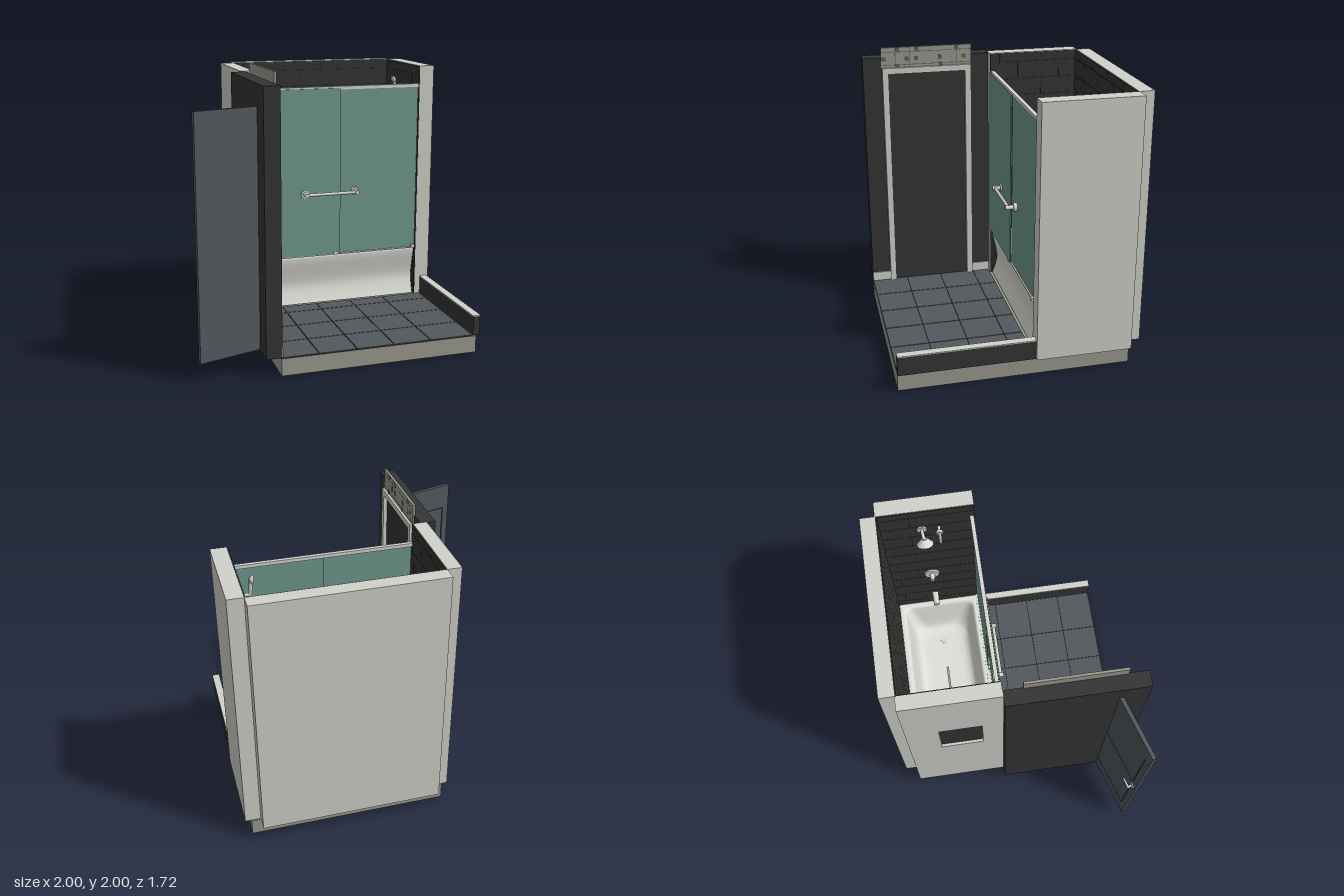
import * as THREE from 'three';

const mat = (name, color, side = THREE.FrontSide) => {
  const m = new THREE.MeshStandardMaterial({ color, side });
  m.name = name;
  return m;
};

export function createModel() {
  const root = new THREE.Group();
  root.name = 'bathroomCorner';
  const plaster = mat('plaster', 0xd2d2cc);
  const stone = mat('stone', 0x9c9b90);
  const black = mat('black', 0x353535);
  const slate = mat('slate', 0x52585d);
  const grout = mat('grout', 0x25272a);
  const glass = mat('glass', 0x719a8f);
  const enamel = mat('enamel', 0xe0e0da, THREE.DoubleSide);
  const metal = mat('metal', 0xd9d8d2);
  const accent = mat('accentTile', 0x5b5d5c);

  const add = (name, geo, m, parent = root) => {
    const mesh = new THREE.Mesh(geo, m);
    mesh.name = name;
    parent.add(mesh);
    return mesh;
  };
  // Box given by its limits
  const box = (name, m, x0, x1, y0, y1, z0, z1, parent = root) => {
    const b = add(name, new THREE.BoxGeometry(x1 - x0, y1 - y0, z1 - z0), m, parent);
    b.position.set((x0 + x1) / 2, (y0 + y1) / 2, (z0 + z1) / 2);
    return b;
  };
  // Round bar between two points
  const rod = (name, m, a, b, r0, r1 = r0, parent = root) => {
    const p = new THREE.Vector3(...a), q = new THREE.Vector3(...b), d = q.clone().sub(p);
    const c = add(name, new THREE.CylinderGeometry(r1, r0, d.length(), 24), m, parent);
    c.position.copy(p).add(q).multiplyScalar(0.5);
    c.quaternion.setFromUnitVectors(new THREE.Vector3(0, 1, 0), d.normalize());
    return c;
  };
  const group = (name, parent = root) => {
    const g = new THREE.Group();
    g.name = name;
    parent.add(g);
    return g;
  };
  const rectPath = (P, x0, x1, y0, y1) => new P([[x0, y0], [x1, y0], [x1, y1], [x0, y1]]
    .map(([x, y]) => new THREE.Vector2(x, y)));
  const panelWithHoles = (outer, holes, depth) => {
    const s = rectPath(THREE.Shape, ...outer);
    holes.forEach(h => s.holes.push(rectPath(THREE.Path, ...h)));
    return new THREE.ExtrudeGeometry(s, { depth, bevelEnabled: false });
  };

  // Base slab and floor tiles
  box('baseSlab', stone, -0.46, 0.955, 0, 0.12, -0.76, 0.86);
  box('floorGrout', grout, -0.46, 0.93, 0.12, 0.126, -0.085, 0.858);
  const floor = group('floorTiles');
  const xs = [-0.455, -0.2, 0.07, 0.34, 0.61, 0.93], zs = [-0.085, 0.05, 0.32, 0.59, 0.86];
  for (let i = 0; i < xs.length - 1; i++)
    for (let j = 0; j < zs.length - 1; j++)
      box('floorTile', slate, xs[i] + 0.003, xs[i + 1] - 0.003, 0.122, 0.13, zs[j] + 0.003, zs[j + 1] - 0.003, floor);

  // Walls around the bath
  box('rightWall', plaster, 0.888, 1, 0.128, 1.93, -0.76, -0.083);
  box('backWall', plaster, -0.4, 0.89, 0.128, 1.93, -0.863, -0.757);
  const leftWall = add('leftWall',
    panelWithHoles([-0.76, -0.083, 0.128, 1.93], [[-0.53, -0.23, 0.98, 1.36]], 0.1), plaster);
  leftWall.rotation.y = -Math.PI / 2;
  leftWall.position.x = -0.4;
  box('wallNiche', black, -0.48, -0.405, 0.97, 1.37, -0.54, -0.22);

  // Brick-bond wall tiles lining three sides
  const tileWall = (name, width, place) => {
    const g = group(name);
    box('tileGrout', grout, 0, width, 0.13, 1.925, 0, 0.004, g);
    const rowH = 0.13, len = 0.32;
    for (let r = 0, top = 1.928; top > 0.48; r++) {
      const h = r === 0 ? 0.065 : rowH;
      for (let x = r % 2 ? -0.11 : -0.09 - len / 2; x < width; x += len) {
        const a = Math.max(0, x), b = Math.min(width, x + len);
        if (b - a > 0.02) box('wallTile', black, a + 0.002, b - 0.002, top - h + 0.002, top - 0.002, 0.002, 0.008, g);
      }
      top -= h;
    }
    place(g);
  };
  tileWall('backTiles', 1.28, g => g.position.set(-0.395, 0, -0.757));
  tileWall('leftTiles', 0.665, g => { g.rotation.y = Math.PI / 2; g.position.set(-0.4, 0, -0.086); });
  tileWall('rightTiles', 0.665, g => { g.rotation.y = -Math.PI / 2; g.position.set(0.888, 0, -0.75); });

  // Dark wall with door casing
  box('doorWall', black, -0.565, -0.455, 0.128, 1.925, -0.083, 0.86);
  const casing = group('doorCasing');
  for (const [a, b] of [[0.055, 0.1], [0.675, 0.72]]) box('casingSide', plaster, -0.46, -0.427, 0.13, 1.85, a, b, casing);
  box('casingTop', plaster, -0.46, -0.427, 1.805, 1.85, 0.055, 0.72, casing);
  for (const [a, b] of [[-0.083, 0.055], [0.72, 0.858]]) box('skirting', plaster, -0.46, -0.447, 0.13, 0.2, a, b);

  // Mosaic strip above the casing
  const mosaic = group('mosaicStrip');
  box('mosaicPanel', stone, -0.462, -0.444, 1.84, 2, 0.05, 0.725, mosaic);
  for (const [z, y] of [[0.705, 1.915], [0.535, 1.915], [0.465, 1.915], [0.285, 1.915], [0.11, 1.915],
    [0.605, 1.983], [0.465, 1.983], [0.165, 1.983], [0.605, 1.862], [0.285, 1.862]])
    box('mosaicAccent', accent, -0.445, -0.442, y - 0.015, y + 0.015, z - 0.015, z + 0.015, mosaic);
  for (const y of [1.87, 1.965]) box('mosaicJoint', accent, -0.445, -0.4435, y - 0.002, y + 0.002, 0.05, 0.725, mosaic);
  for (const z of [0.16, 0.515, 0.62]) box('mosaicJoint', accent, -0.445, -0.4435, 1.84, 2, z - 0.002, z + 0.002, mosaic);

  // Low kerb on the right
  box('kerb', black, 0.932, 0.982, 0.128, 0.265, -0.083, 0.86);
  box('kerbCap', plaster, 0.929, 0.985, 0.265, 0.272, -0.083, 0.86);

  // Open door: local x runs from the free edge to the hinge, local +z is the front
  const door = group('door');
  door.position.set(-0.996, 0, 0.808);
  door.rotation.y = Math.atan2(0.13, 0.435);
  const W = 0.5;
  box('doorLeaf', slate, 0, W, 0.135, 1.78, -0.008, 0.012, door);
  box('doorPanelBack', grout, 0.04, W - 0.02, 0.25, 1.65, -0.0085, -0.007, door);
  const panels = [[0.05, W - 0.03, 0.99, 1.6], [0.05, W - 0.03, 0.3, 0.87]];
  add('doorFrame', panelWithHoles([0, W, 0.135, 1.78], panels, 0.008), slate, door).position.z = -0.016;
  for (const [a, b, c, d] of panels) box('doorPanel', slate, a + 0.008, b - 0.008, c + 0.008, d - 0.008, -0.014, -0.007, door);
  rod('handleRose', metal, [0.04, 0.93, -0.014], [0.04, 0.93, -0.024], 0.024, 0.024, door);
  rod('handleNeck', metal, [0.04, 0.93, -0.02], [0.04, 0.93, -0.052], 0.009, 0.009, door);
  rod('handleLever', metal, [0.03, 0.93, -0.05], [0.11, 0.93, -0.05], 0.009, 0.007, door);

  // Bathtub: rounded rectangles lofted up the apron, over the rim and down the basin
  const corner = 7;
  const ring = (y, x0, x1, z0, z1, r) => {
    const pts = [];
    const centres = [[x1 - r, z1 - r], [x0 + r, z1 - r], [x0 + r, z0 + r], [x1 - r, z0 + r]];
    centres.forEach(([cx, cz], q) => {
      for (let k = 0; k < corner; k++) {
        const a = (q + k / (corner - 1)) * Math.PI / 2;
        pts.push([cx + r * Math.cos(a), y, cz + r * Math.sin(a)]);
      }
    });
    return pts;
  };
  const rings = [];
  const apron = new THREE.SplineCurve([[-0.1, 0.13], [-0.115, 0.17], [-0.135, 0.24], [-0.137, 0.3],
    [-0.122, 0.38], [-0.106, 0.45], [-0.1, 0.495]].map(p => new THREE.Vector2(...p)));
  for (const p of apron.getPoints(18)) rings.push(ring(p.y, -0.39, 0.878, -0.747, p.x, 0.004));
  rings.push(ring(0.506, -0.388, 0.876, -0.745, -0.103, 0.004));
  rings.push(ring(0.51, -0.38, 0.868, -0.737, -0.111, 0.004));
  for (const [y, t, r] of [[0.51, -0.012, 0.05], [0.505, -0.002, 0.055], [0.49, 0.006, 0.06], [0.4, 0.022, 0.07],
    [0.3, 0.04, 0.085], [0.235, 0.058, 0.1], [0.21, 0.08, 0.1], [0.2, 0.115, 0.1], [0.198, 0.15, 0.09]])
    rings.push(ring(y, -0.335 + t, 0.835 - t, -0.7 + t, -0.15 - t, r));
  rings.push(ring(0.195, 0.1, 0.4, -0.43, -0.42, 0.001));
  const n = corner * 4, idx = [];
  for (let i = 0; i < rings.length - 1; i++)
    for (let j = 0; j < n; j++) {
      const a = i * n + j, b = i * n + (j + 1) % n, c = a + n, d = b + n;
      idx.push(a, c, b, b, c, d);
    }
  const tub = new THREE.BufferGeometry();
  tub.setAttribute('position', new THREE.Float32BufferAttribute(rings.flat(2), 3));
  tub.setIndex(idx);
  tub.computeVertexNormals();
  add('bathtub', tub, enamel);
  rod('drain', metal, [0.64, 0.194, -0.425], [0.64, 0.202, -0.425], 0.025);

  // Sliding glass screen with rails and guides
  box('topRail', metal, -0.39, 0.88, 1.772, 1.797, -0.118, -0.09);
  box('bottomRail', metal, -0.39, 0.88, 0.508, 0.517, -0.118, -0.085);
  box('glassLeft', glass, -0.4, 0.26, 0.515, 1.785, -0.088, -0.08);
  box('glassRight', glass, 0.24, 0.88, 0.515, 1.775, -0.103, -0.095);
  for (const x of [-0.37, 0.225, 0.862]) box('glassGuide', metal, x - 0.015, x + 0.015, 0.512, 0.535, -0.1, -0.073);

  // Towel bar across the glass
  const towelBar = group('towelBar');
  for (const x of [-0.02, 0.375]) {
    rod('barFlange', metal, [x, 1, -0.096], [x, 1, -0.07], 0.032, 0.03, towelBar);
    rod('barPost', metal, [x, 1, -0.075], [x, 1, -0.013], 0.016, 0.016, towelBar);
  }
  rod('bar', metal, [-0.02, 1, -0.035], [0.375, 1, -0.035], 0.012, 0.012, towelBar);

  // Shower fittings on the right wall
  const shower = group('showerSet');
  rod('armPlate', metal, [0.885, 1.7, -0.46], [0.87, 1.7, -0.46], 0.035, 0.035, shower);
  const arm = new THREE.QuadraticBezierCurve3(new THREE.Vector3(0.88, 1.7, -0.46),
    new THREE.Vector3(0.82, 1.74, -0.46), new THREE.Vector3(0.79, 1.7, -0.45));
  add('showerArm', new THREE.TubeGeometry(arm, 16, 0.012, 12), metal, shower);
  rod('showerHead', metal, [0.795, 1.71, -0.45], [0.775, 1.67, -0.45], 0.02, 0.06, shower);
  rod('handShower', metal, [0.8, 1.62, -0.34], [0.78, 1.82, -0.34], 0.01, 0.014, shower);
  rod('handShowerHead', metal, [0.79, 1.81, -0.34], [0.77, 1.805, -0.34], 0.02, 0.03, shower);
  rod('handShowerBracket', metal, [0.885, 1.7, -0.34], [0.79, 1.7, -0.34], 0.011, 0.011, shower);
  rod('valvePlate', metal, [0.885, 1, -0.44], [0.868, 1, -0.44], 0.06, 0.055, shower);
  rod('valveKnob', metal, [0.87, 1, -0.44], [0.82, 1, -0.44], 0.02, 0.018, shower);
  rod('tubSpout', metal, [0.885, 0.64, -0.44], [0.78, 0.63, -0.44], 0.026, 0.022, shower);

  return root;
}
